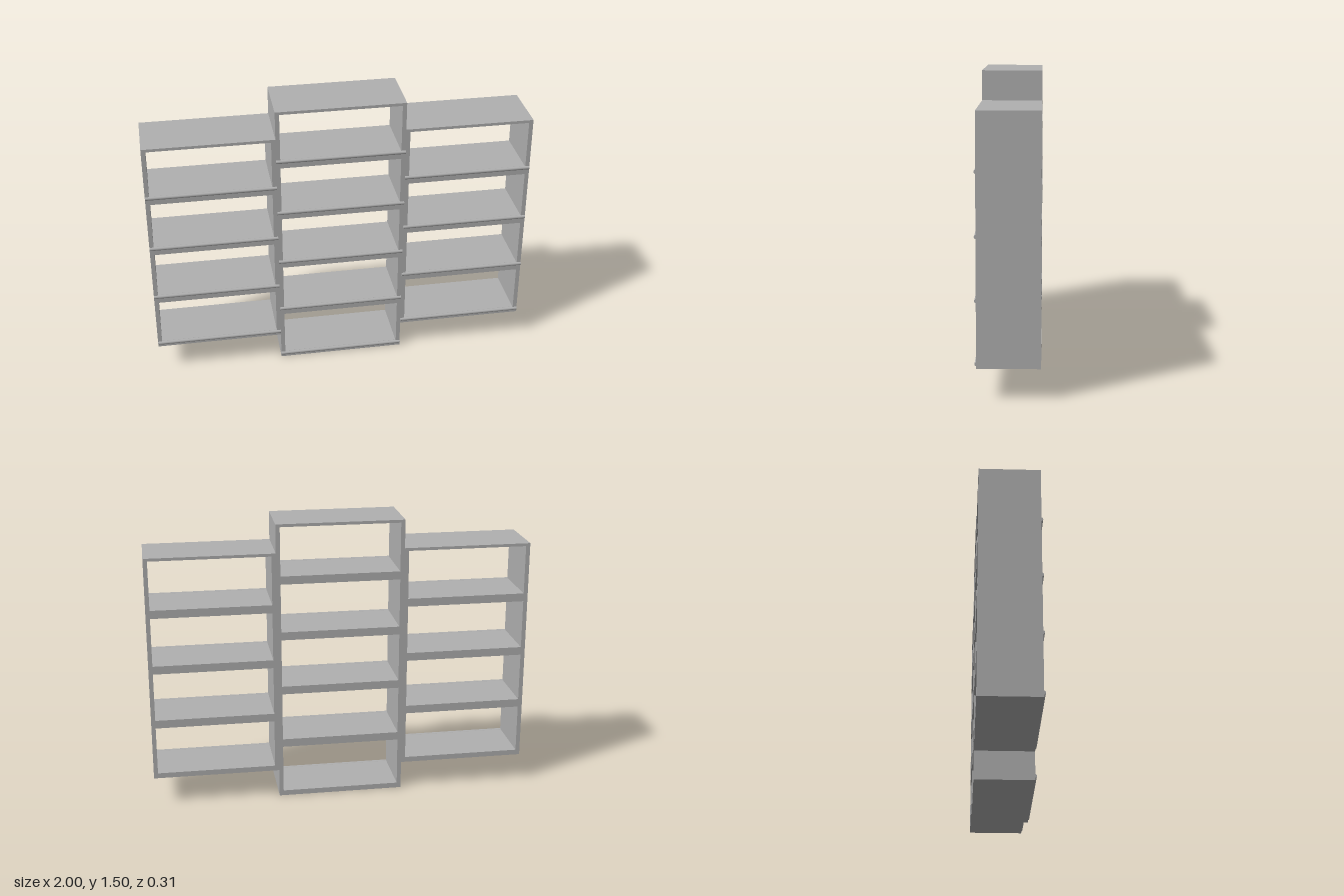
import * as THREE from 'three';

const CELL_W = 2 / 3, CELL_H = 0.3;
const WALL = 0.022, FLOOR = 0.028, ROOF = 0.015;
const BACK = -0.155, FRONT = 0.147, RAIL_R = 0.01;
const DEPTH = FRONT - BACK, MID_Z = (FRONT + BACK) / 2;

export function createModel() {
  const grey = new THREE.MeshStandardMaterial({ color: 0xb0b0b0 });
  grey.name = 'plain grey';

  const add = (parent, name, geometry, x, y, z) => {
    const mesh = new THREE.Mesh(geometry, grey);
    mesh.name = name;
    mesh.position.set(x, y, z);
    parent.add(mesh);
  };

  // Shared part shapes
  const inner = CELL_W - 2 * WALL;
  const wallGeo = new THREE.BoxGeometry(WALL, CELL_H, DEPTH);
  const floorGeo = new THREE.BoxGeometry(inner, FLOOR, DEPTH);
  const roofGeo = new THREE.BoxGeometry(inner, ROOF, DEPTH);
  const railGeo = new THREE.CylinderGeometry(RAIL_R, RAIL_R, CELL_W, 16).rotateZ(Math.PI / 2);

  // One open box with a round rail along the front of its floor
  const makeCell = () => {
    const cell = new THREE.Group();
    cell.name = 'shelfBox';
    const wallX = (CELL_W - WALL) / 2;
    add(cell, 'leftWall', wallGeo, wallX, CELL_H / 2, MID_Z);
    add(cell, 'rightWall', wallGeo, -wallX, CELL_H / 2, MID_Z);
    add(cell, 'floorBoard', floorGeo, 0, FLOOR / 2, MID_Z);
    add(cell, 'topBoard', roofGeo, 0, CELL_H - ROOF / 2, MID_Z);
    add(cell, 'frontRail', railGeo, 0, 0.022, 0.145);
    return cell;
  };

  // Tall middle column, with shorter side columns offset by half a box
  const model = new THREE.Group();
  model.name = 'bookcase';
  const columns = [
    ['rightColumn', -CELL_W, 0.15, 4],
    ['middleColumn', 0, 0, 5],
    ['leftColumn', CELL_W, 0.15, 4],
  ];
  for (const [name, x, base, count] of columns) {
    const column = new THREE.Group();
    column.name = name;
    column.position.set(x, base, 0);
    for (let i = 0; i < count; i++) {
      const cell = makeCell();
      cell.position.y = i * CELL_H;
      column.add(cell);
    }
    model.add(column);
  }
  return model;
}
